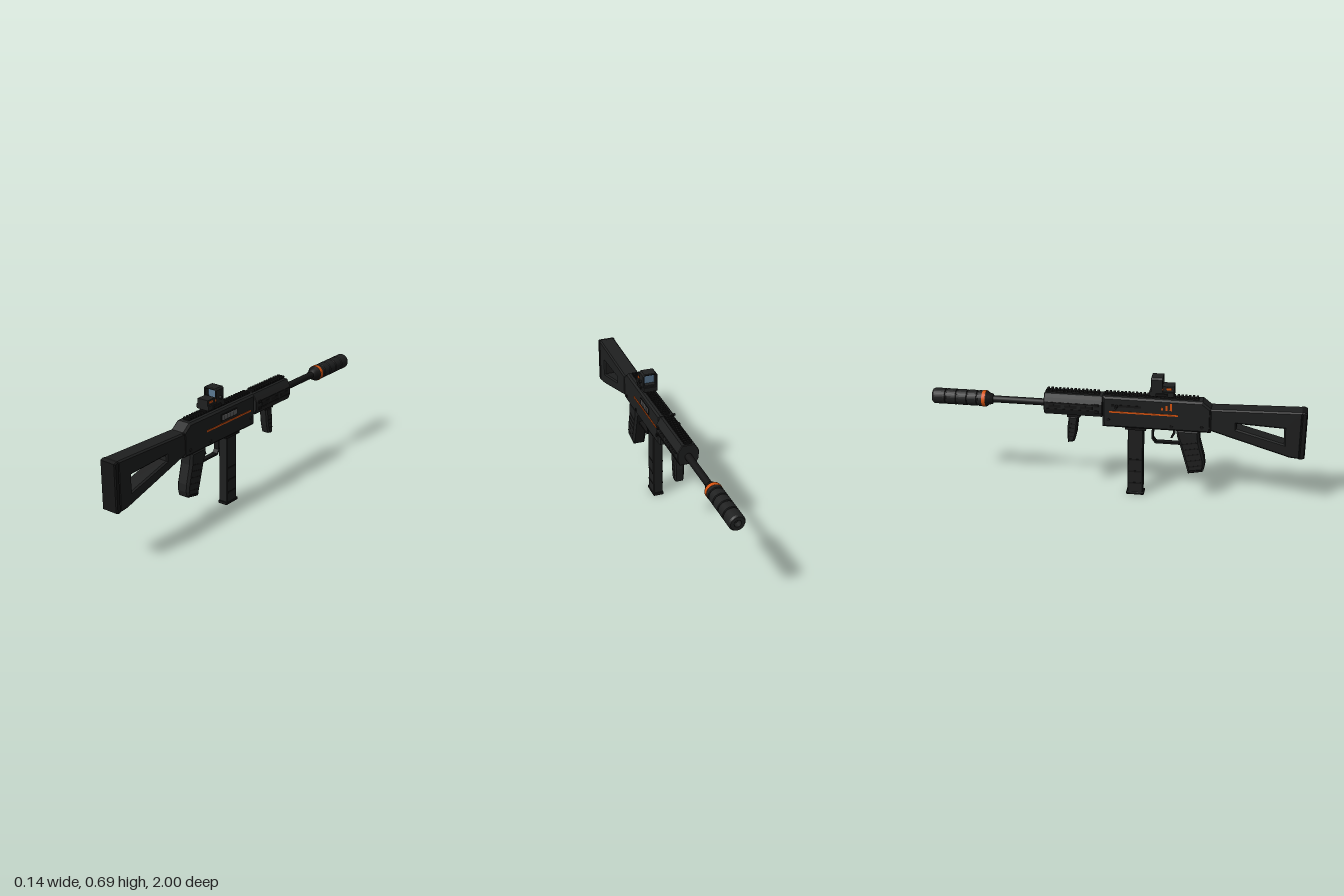
import * as THREE from 'three';

const mat = (name, color) => Object.assign(new THREE.MeshStandardMaterial({ color }), { name });

export function createModel() {
  const black = mat('body black', 0x1f2020);
  const dark = mat('dark trim', 0x151515);
  const orange = mat('orange accent', 0xd9540f);
  const grey = mat('bolt grey', 0x858585);
  const glass = mat('lens blue', 0x5b7a94);

  const model = new THREE.Group();
  model.name = 'carbine';
  // The centre plane sits slightly to the left so the overall width is balanced.
  const body = new THREE.Group();
  body.name = 'body';
  body.position.x = 0.005;
  model.add(body);

  const add = (name, geo, m, x = 0, y = 0, z = 0, parent = body) => {
    const mesh = new THREE.Mesh(geo, m);
    mesh.name = name;
    mesh.position.set(x, y, z);
    parent.add(mesh);
    return mesh;
  };
  const box = (name, m, w, h, d, x, y, z, parent) =>
    add(name, new THREE.BoxGeometry(w, h, d), m, x, y, z, parent);
  const poly = (pts) => pts.map(([a, b]) => new THREE.Vector2(a, b));

  // Extrudes a shape to a total depth, with a chamfer that stays inside the outline.
  const extrude = (pts, depth, chamfer, hole) => {
    const shape = new THREE.Shape(poly(pts));
    if (hole) shape.holes.push(new THREE.Path(poly(hole)));
    const geo = new THREE.ExtrudeGeometry(shape, {
      depth: depth - 2 * chamfer, bevelEnabled: chamfer > 0, bevelSegments: 1,
      bevelSize: chamfer, bevelThickness: chamfer, bevelOffset: -chamfer,
    });
    return geo.translate(0, 0, chamfer - depth / 2);
  };
  // Side profile in (z, y), given a width across x.
  const side = (name, m, pts, width, chamfer = 0, hole) =>
    add(name, extrude(pts, width, chamfer, hole).rotateY(-Math.PI / 2), m);
  // Turned part along z: profile in (radius, distance towards the muzzle).
  const turned = (name, m, pts, segments = 32) =>
    add(name, new THREE.LatheGeometry(poly(pts), segments).rotateX(-Math.PI / 2), m, 0, 0.503, 0);

  // Stock with its through opening and butt pad
  side('stock', black, [[0.975, 0.549], [0.5, 0.536], [0.5, 0.415], [0.92, 0.29], [0.975, 0.285]],
    0.092, 0.008, [[0.885, 0.452], [0.64, 0.463], [0.64, 0.433], [0.89, 0.365]]);
  side('buttPad', dark, [[0.97, 0.549], [0.985, 0.549], [1, 0.543], [1, 0.292], [0.985, 0.284], [0.97, 0.284]],
    0.096, 0.006);

  // Receiver
  side('receiver', black, [[0.507, 0.535], [0.46, 0.572], [-0.066, 0.572], [-0.066, 0.4], [0.507, 0.4]],
    0.09, 0.01);
  box('stockCollar', dark, 0.086, 0.11, 0.02, 0, 0.477, 0.508);
  box('magazineWell', dark, 0.072, 0.02, 0.11, 0, 0.398, 0.11);

  // Top rails with cross teeth
  const rail = (name, z0, z1, n) => {
    const g = new THREE.Group();
    g.name = name;
    body.add(g);
    box('railBase', dark, 0.034, 0.01, z0 - z1, 0, 0.573, (z0 + z1) / 2, g);
    const step = (z0 - z1) / n;
    for (let i = 0; i < n; i++)
      box('railTooth', dark, 0.044, 0.01, step * 0.55, 0, 0.58, z0 - step * (i + 0.5), g);
  };
  rail('receiverRail', 0.44, -0.06, 25);
  rail('handguardRail', -0.085, -0.375, 14);

  // Painted stripe, pins on both sides
  for (const s of [-1, 1]) {
    box('sideStripe', orange, 0.004, 0.009, 0.365, s * 0.0455, 0.49, 0.152);
    for (const [z, y] of [[0.46, 0.43], [-0.035, 0.445], [0.3, 0.425]])
      add('pin', new THREE.CylinderGeometry(0.009, 0.009, 0.004, 12).rotateZ(Math.PI / 2), dark, s * 0.046, y, z);
  }
  // Three rising marks on the right flank
  for (let i = 0; i < 3; i++) {
    const h = 0.016 + i * 0.012;
    box('levelMark', orange, 0.003, h, 0.011, -0.0455, 0.515 + h / 2, 0.25 + i * 0.023);
  }
  // Ejection port with ribbed bolt
  box('portFrame', dark, 0.006, 0.038, 0.135, 0.045, 0.525, 0.152);
  box('boltCover', grey, 0.003, 0.024, 0.118, 0.049, 0.525, 0.152);
  for (let i = 0; i < 9; i++)
    box('boltRib', grey, 0.003, 0.024, 0.005, 0.051, 0.525, 0.102 + i * 0.0125);
  // Charging handle
  box('chargingSlot', dark, 0.003, 0.012, 0.16, -0.0455, 0.525, 0.06);
  add('chargingHandle', new THREE.CylinderGeometry(0.007, 0.007, 0.035, 12).rotateZ(Math.PI / 2), dark, -0.0575, 0.525, 0.01);

  // Handguard with eight-sided section, side slots and lugs
  const section = [[0.034, 0.57], [0.046, 0.55], [0.057, 0.53], [0.057, 0.485], [0.044, 0.457]];
  const ring = [...section, ...section.map(([x, y]) => [-x, y]).reverse()];
  add('handguard', extrude(ring, 0.315, 0.003), black, 0, 0, -0.2225);
  for (const s of [-1, 1]) {
    for (const y of [0.525, 0.489]) {
      box('sideRib', dark, 0.004, 0.008, 0.27, s * 0.057, y, -0.23);
      box('handguardLug', dark, 0.016, 0.014, 0.02, s * 0.0555, y, -0.095);
    }
    for (let i = 0; i < 3; i++)
      box('ventSlot', dark, 0.002, 0.016, 0.065, s * 0.057, 0.507, -0.15 - i * 0.085);
  }

  // Barrel and suppressor
  turned('barrel', dark, [[0, 0.3], [0.019, 0.3], [0.019, 0.7], [0, 0.7]], 20);
  turned('suppressorCollar', dark, [[0.018, 0.665], [0.028, 0.67], [0.033, 0.69], [0.042, 0.7], [0.042, 0.706]]);
  turned('suppressorRing', orange, [[0.042, 0.705], [0.044, 0.705], [0.044, 0.724], [0.042, 0.724]]);
  const can = [[0.042, 0.722]];
  for (const d of [0.75, 0.805, 0.865, 0.925])
    can.push([0.0425, d - 0.005], [0.038, d - 0.003], [0.038, d + 0.003], [0.0425, d + 0.005]);
  can.push([0.0425, 0.99], [0.036, 1], [0.018, 1], [0.016, 0.97], [0, 0.97]);
  const canMesh = turned('suppressor', black, can);
  canMesh.geometry = canMesh.geometry.toNonIndexed();
  canMesh.geometry.computeVertexNormals();

  // Pistol grip with front ridges
  side('pistolGrip', black, [[0.445, 0.405], [0.325, 0.405], [0.33, 0.365], [0.345, 0.32], [0.392, 0.158], [0.475, 0.173],
    [0.482, 0.2], [0.478, 0.24], [0.452, 0.34]], 0.077, 0.012);
  for (let i = 0; i < 5; i++) {
    const t = i / 4;
    box('gripRidge', dark, 0.079, 0.006, 0.075, 0, 0.33 - t * 0.13, 0.397 + t * 0.035).rotation.x = -0.2;
  }
  side('gripCap', dark, [[0.39, 0.166], [0.394, 0.152], [0.472, 0.167], [0.472, 0.182]], 0.066, 0.003);

  // Trigger and guard
  side('triggerGuard', dark, [[0.345, 0.31], [0.212, 0.31], [0.194, 0.335], [0.194, 0.405], [0.204, 0.405], [0.204, 0.338],
    [0.217, 0.32], [0.345, 0.32]], 0.03);
  side('trigger', dark, [[0.322, 0.405], [0.308, 0.405], [0.306, 0.37], [0.294, 0.345], [0.302, 0.342], [0.318, 0.368]], 0.016);

  // Magazine with ribs and floor plate
  side('magazine', black, [[0.15, 0.41], [0.067, 0.41], [0.067, 0.01], [0.15, 0.01]], 0.055, 0.004);
  for (const y of [0.07, 0.14, 0.21])
    box('magazineRib', dark, 0.059, 0.009, 0.068, 0, y, 0.108);
  side('floorPlate', dark, [[0.156, 0], [0.156, 0.015], [0.06, 0.015], [0.06, 0]], 0.06, 0.003);

  // Forward grip
  box('foregripMount', dark, 0.05, 0.024, 0.07, 0, 0.448, -0.225);
  side('foregrip', black, [[-0.2, 0.44], [-0.252, 0.44], [-0.262, 0.36], [-0.26, 0.285], [-0.225, 0.292], [-0.212, 0.34]], 0.052, 0.008);
  for (let i = 0; i < 4; i++)
    box('foregripRidge', dark, 0.054, 0.005, 0.03, 0, 0.395 - i * 0.024, -0.232 - i * 0.003);

  // Reflex sight: clamp, base, rear housing, hood and lens
  const sight = new THREE.Group();
  sight.name = 'reflexSight';
  body.add(sight);
  box('sightClamp', dark, 0.05, 0.014, 0.11, 0, 0.588, 0.245, sight);
  box('sightBase', black, 0.078, 0.025, 0.13, 0, 0.602, 0.245, sight);
  box('clampBar', dark, 0.092, 0.016, 0.06, 0, 0.6, 0.245, sight);
  box('rearHousing', black, 0.064, 0.033, 0.062, 0, 0.628, 0.279, sight);
  add('hood', extrude([[-0.041, 0.612], [0.041, 0.612], [0.041, 0.682], [0.033, 0.691], [-0.033, 0.691], [-0.041, 0.682]],
    0.062, 0.002, [[-0.031, 0.625], [0.031, 0.625], [0.031, 0.681], [-0.031, 0.681]]), black, 0, 0, 0.22, sight);
  box('lens', glass, 0.063, 0.057, 0.006, 0, 0.653, 0.22, sight);
  for (const s of [-1, 1]) {
    box('sightButton', orange, 0.004, 0.01, 0.026, s * 0.0335, 0.632, 0.284, sight);
    box('sightTab', orange, 0.006, 0.009, 0.004, s * 0.037, 0.63, 0.252, sight);
  }
  add('adjustKnob', new THREE.CylinderGeometry(0.009, 0.009, 0.014, 16).rotateZ(Math.PI / 2), dark, 0.046, 0.639, 0.22, sight);

  return model;
}
